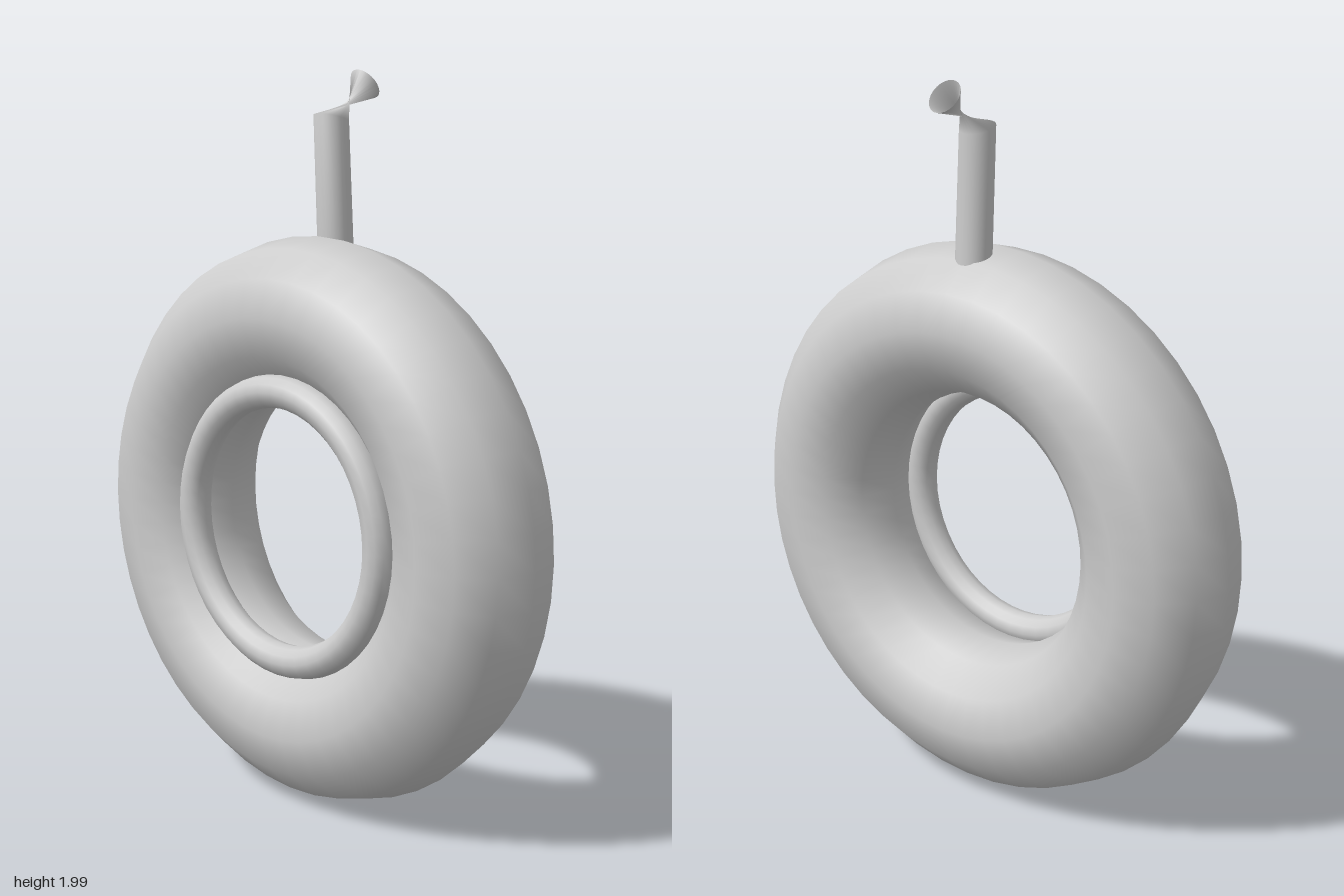
import * as THREE from 'three';

// Skin a list of elliptical sections: centre (y, z), half axis in the yz plane, half width in x
function loft(sections, sides) {
  const pos = [], index = [];
  for (const s of sections) {
    for (let i = 0; i < sides; i++) {
      const u = (i / sides) * Math.PI * 2, c = Math.cos(u);
      pos.push(s.w * Math.sin(u), s.y + s.hy * c, s.z + s.hz * c);
    }
  }
  for (let j = 0; j < sections.length - 1; j++) {
    for (let i = 0; i < sides; i++) {
      const a = j * sides + i, b = j * sides + (i + 1) % sides;
      index.push(a, b, a + sides, b, b + sides, a + sides);
    }
  }
  const g = new THREE.BufferGeometry();
  g.setAttribute('position', new THREE.Float32BufferAttribute(pos, 3));
  g.setIndex(index);
  g.computeVertexNormals();
  return g;
}

export function createModel() {
  const group = new THREE.Group();
  const grey = new THREE.MeshStandardMaterial({ color: 0xcccccc, side: THREE.DoubleSide });
  grey.name = 'light grey';

  const add = (name, geometry, y, z) => {
    const mesh = new THREE.Mesh(geometry, grey);
    mesh.name = name;
    mesh.position.set(0, y, z);
    group.add(mesh);
  };

  // Large inflated ring, and the thin bead seated in the front of its hole
  const centreY = 0.784;
  add('ring', new THREE.TorusGeometry(0.571, 0.207, 12, 48), centreY, 0);
  add('innerBead', new THREE.TorusGeometry(0.371, 0.045, 12, 48), centreY, 0.13);

  // Open stem, pinched by a half twist and flaring again towards the back
  const stem = [
    { y: 1.5, z: -0.068, hy: 0, hz: 0.048, w: 0.05 },
    { y: 1.872, z: -0.05, hy: 0.0125, hz: 0.045, w: 0.05 },
    { y: 1.912, z: -0.11, hy: -0.008, hz: 0.006, w: 0.004 },
    { y: 1.962, z: -0.175, hy: -0.0375, hz: -0.03, w: -0.046 },
  ];
  add('pinchedStem', loft(stem, 24), 0, 0);

  return group;
}
